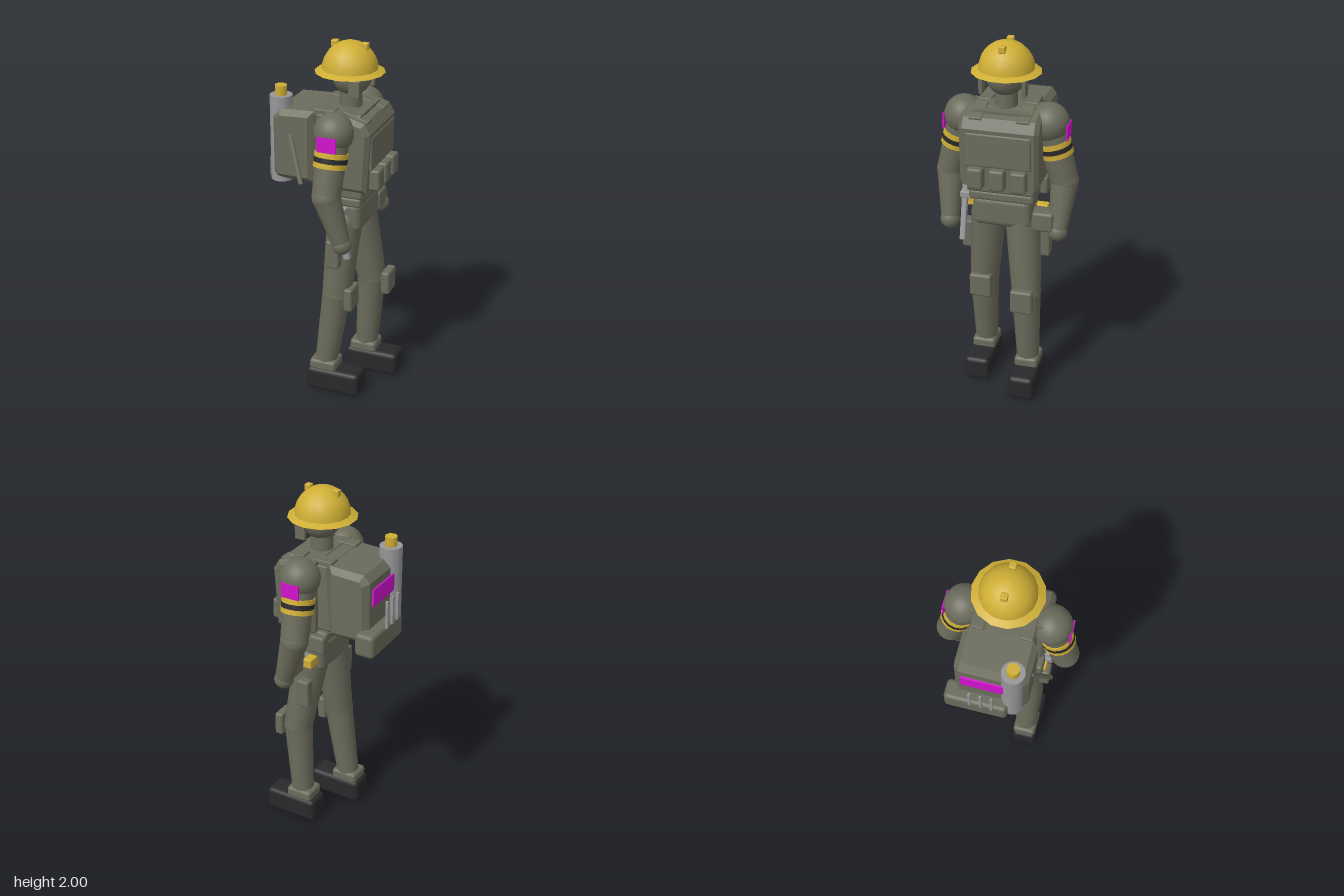
import * as THREE from 'three';
import { RoundedBoxGeometry } from 'three/addons/geometries/RoundedBoxGeometry.js';

const paint = (name, color) => {
  const m = new THREE.MeshStandardMaterial({ color });
  m.name = name;
  return m;
};

export function createModel() {
  const olive = paint('olive', 0x6b6b5c);
  const yellow = paint('yellow', 0xcfae35);
  const grey = paint('grey', 0x97979a);
  const magenta = paint('magenta', 0xd312cf);
  const black = paint('black', 0x29292b);
  const model = new THREE.Group();
  model.name = 'fieldWorker';

  const add = (name, geo, mat, parent = model) => {
    const mesh = new THREE.Mesh(geo, mat);
    mesh.name = name;
    parent.add(mesh);
    return mesh;
  };
  // Box from its min and max extents, with softened edges when r > 0
  const box = (name, mat, [x0, x1], [y0, y1], [z0, z1], r = 0.012) => {
    const s = [x1 - x0, y1 - y0, z1 - z0];
    const geo = r ? new RoundedBoxGeometry(...s, 2, r) : new THREE.BoxGeometry(...s);
    const m = add(name, geo, mat);
    m.position.set((x0 + x1) / 2, (y0 + y1) / 2, (z0 + z1) / 2);
    return m;
  };
  // Side profile in x and y, extruded across z with chamfered edges
  const slab = (name, mat, pts, halfWidth, bevel) => {
    const shape = new THREE.Shape(pts.map(p => new THREE.Vector2(...p)));
    const geo = new THREE.ExtrudeGeometry(shape, {
      depth: 2 * (halfWidth - bevel), bevelEnabled: true, bevelThickness: bevel,
      bevelSize: bevel, bevelOffset: -bevel, bevelSegments: 1
    });
    geo.translate(0, 0, bevel - halfWidth);
    return add(name, geo, mat);
  };
  const ball = (name, mat, p, r) => {
    const m = add(name, new THREE.SphereGeometry(r, 20, 14), mat);
    m.position.set(...p);
    return m;
  };
  // Tapered cylinder between two points
  const limb = (name, mat, from, to, r0, r1, sides = 16) => {
    const a = new THREE.Vector3(...from), b = new THREE.Vector3(...to);
    const dir = b.clone().sub(a);
    const m = add(name, new THREE.CylinderGeometry(r1, r0, dir.length(), sides), mat);
    m.position.copy(a).add(b).multiplyScalar(0.5);
    m.quaternion.setFromUnitVectors(new THREE.Vector3(0, 1, 0), dir.normalize());
    return m;
  };

  // Head and neck
  ball('head', olive, [0.095, 1.815, 0], 0.105);
  limb('neck', olive, [0.09, 1.58, 0], [0.09, 1.78, 0], 0.062, 0.058);

  // Helmet: crown, brim and top studs
  const lathe = pts => new THREE.LatheGeometry(pts.map(p => new THREE.Vector2(...p)), 16);
  const crown = [];
  for (let i = 0; i <= 7; i++) {
    const a = i / 7 * Math.PI / 2;
    crown.push([Math.max(0.147 * Math.cos(a), 0), 1.845 + 0.15 * Math.sin(a)]);
  }
  add('helmetCrown', lathe(crown), yellow).position.x = 0.084;
  const brim = add('helmetBrim', new THREE.CylinderGeometry(0.15, 0.185, 0.016, 14), yellow);
  brim.position.set(0.084, 1.842, 0);
  for (const x of [0.002, 0.166])
    box('helmetStud', yellow, [x - 0.018, x + 0.018], [1.955, 1.992], [-0.018, 0.018], 0.006);

  // Torso, vest and backpack
  slab('torso', olive, [[-0.07, 1.25], [0.2, 1.25], [0.2, 1.65], [-0.05, 1.65]], 0.165, 0.02);
  slab('chestVest', olive,
    [[0.02, 1.245], [0.25, 1.245], [0.268, 1.57], [0.235, 1.625], [0.13, 1.655], [0.02, 1.655]], 0.212, 0.022);
  slab('backpack', olive,
    [[-0.05, 1.25], [-0.265, 1.255], [-0.284, 1.29], [-0.284, 1.6], [-0.25, 1.64], [-0.05, 1.648]], 0.192, 0.03);
  box('chestFlap', olive, [0.2, 0.272], [1.365, 1.55], [-0.175, 0.175], 0.01);
  for (const z of [-0.115, 0, 0.115])
    box('chestPouch', olive, [0.24, 0.308], [1.25, 1.366], [z - 0.042, z + 0.042], 0.014);

  // Belts and pelvis
  box('waist', olive, [-0.04, 0.22], [1.195, 1.255], [-0.182, 0.182], 0.015);
  box('belt', olive, [-0.037, 0.21], [1.145, 1.198], [-0.176, 0.176], 0.015);
  box('pelvis', olive, [0, 0.202], [0.99, 1.16], [-0.16, 0.16], 0.035);

  // Parts on both sides
  for (const s of [1, -1]) {
    const side = (a, b) => s > 0 ? [a, b] : [-b, -a];
    box('earFlap', olive, [0.12, 0.18], [1.73, 1.82], side(0.103, 0.124), 0.004);
    const strap = box('shoulderStrap', olive, [0.1, 0.245], [1.622, 1.648], side(0.09, 0.16), 0.006);
    strap.rotation.z = -0.3;
    box('backStrap', olive, [-0.06, 0.06], [1.62, 1.662], side(0.09, 0.16), 0.006);

    // Arm
    const shoulder = [0.085, 1.575, s * 0.228], elbow = [0.075, 1.25, s * 0.312], hand = [0.155, 0.985, s * 0.298];
    ball('shoulder', olive, shoulder, 0.106);
    limb('upperArm', olive, elbow, shoulder, 0.075, 0.085);
    ball('elbow', olive, elbow, 0.076);
    limb('forearm', olive, hand, elbow, 0.048, 0.075);
    ball('hand', olive, hand, 0.053);
    const along = t => shoulder.map((v, i) => v + (elbow[i] - v) * t);
    [[0.3, yellow], [0.38, black], [0.46, yellow]].forEach(([t, mat]) =>
      limb('armStripe', mat, along(t + 0.08), along(t), 0.088, 0.088));
    box('armPatch', magenta, [0.033, 0.136], [1.5, 1.58], side(0.326, 0.335), 0);

    // Leg; the far foot is a step ahead
    const near = s > 0;
    const hip = [near ? 0.095 : 0.105, 1.03, s * 0.095];
    const knee = [near ? 0.065 : 0.172, 0.6, s * 0.133];
    const ankle = [near ? 0.003 : 0.145, 0.15, s * 0.14];
    ball('hip', olive, hip, 0.095);
    limb('thigh', olive, knee, hip, 0.08, 0.097);
    ball('knee', olive, knee, 0.081);
    limb('shin', olive, ankle, knee, 0.062, 0.08);
    const f = near ? 0 : 0.127;
    const k = near ? 0 : 0.123;
    box('kneePad', olive, [0.122 + k, 0.172 + k], [0.525, 0.66], side(0.07, 0.193), 0.014);
    const c = near ? 0 : 0.137;
    box('bootCuff', olive, [-0.074 + c, 0.08 + c], [0.125, 0.188], side(0.075, 0.207), 0.018);
    box('boot', black, [-0.09 + f, 0.22 + f], [0, 0.137], side(0.073, 0.215), 0.025);

    // Hip gear
    box('thighPouch', olive, [0.04, 0.115], [0.8, 0.96], side(0.185, 0.245), 0.012);
    box('beltPouch', olive, [-0.04, 0.05], [1.14, 1.24], side(0.15, 0.215), 0.014);
    box('hipTag', yellow, [0.03, 0.08], [1.04, 1.092], side(0.14, 0.225), 0.006);
  }
  box('hipPouch', olive, [0.1, 0.2], [0.99, 1.1], [-0.28, -0.165], 0.016);
  const tool = box('hipTool', grey, [0.105, 0.14], [0.865, 1.2], [0.212, 0.242], 0.005);
  tool.rotation.z = 0.24;
  box('toolClip', grey, [0.06, 0.14], [1.11, 1.145], [0.17, 0.245], 0.004);

  // Backpack equipment
  box('bedroll', olive, [-0.345, -0.235], [1.21, 1.34], [-0.237, 0.1], 0.022);
  limb('canister', grey, [-0.257, 1.23, 0.112], [-0.257, 1.7, 0.112], 0.061, 0.061, 12);
  limb('canisterCap', yellow, [-0.257, 1.69, 0.112], [-0.257, 1.752, 0.112], 0.034, 0.034, 8);
  for (const z of [-0.093, -0.035, 0.022])
    box('rod', grey, [-0.355, -0.342], [1.335, 1.49], [z - 0.006, z + 0.006], 0);
  box('backPlate', magenta, [-0.301, -0.2915], [1.47, 1.565], [-0.15, 0.075], 0);
  box('plateMount', olive, [-0.2915, -0.28], [1.48, 1.555], [-0.14, 0.065], 0);
  limb('sideRod', olive, [-0.083, 1.28, 0.272], [-0.178, 1.515, 0.185], 0.013, 0.013, 8);

  return model;
}
